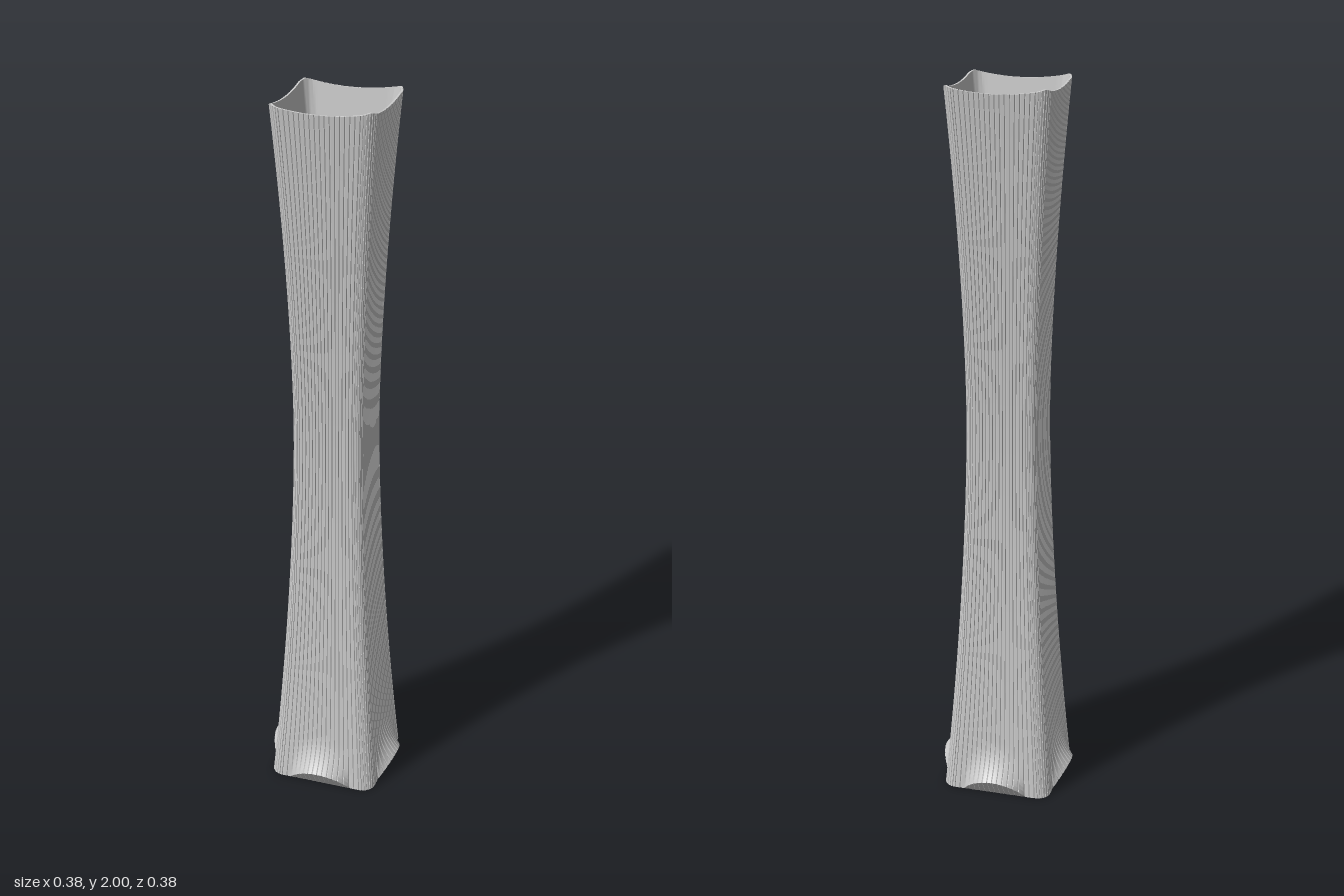
import * as THREE from 'three';
import { toCreasedNormals } from 'three/addons/utils/BufferGeometryUtils.js';

const STRAIGHT = 0.76;          // flat share of each side, the rest is the rounded corner
const SIDE_RIBS = 16, CORNER_RIBS = 7;

// Unit rounded square: position, outward normal, groove flag, side normal
function makeOutline() {
  const points = [];
  for (let q = 0; q < 4; q++) {
    const add = (x, z, nx, nz, groove, flat) => {
      for (let i = 0; i < q; i++) {
        [x, z] = [-z, x];
        [nx, nz] = [-nz, nx];
      }
      points.push({ x, z, nx, nz, groove, flat });
    };
    for (let i = 0; i < SIDE_RIBS; i++) {
      for (const s of [0, 0.14, 0.86]) {
        const t = STRAIGHT * (2 * (i + s) / SIDE_RIBS - 1);
        add(1, t, 1, 0, s === 0, t);
      }
    }
    for (let i = 0; i < CORNER_RIBS; i++) {
      for (const s of [0, 0.14, 0.86]) {
        const a = (i + s) / CORNER_RIBS * Math.PI / 2;
        const c = Math.cos(a), n = Math.sin(a), r = 1 - STRAIGHT;
        add(STRAIGHT + r * c, STRAIGHT + r * n, c, n, s === 0, 1);
      }
    }
  }
  return points;
}

// Half width of the waisted body at height y
function halfWidth(y) {
  return y > 1.1
    ? 0.097 + 0.043 * Math.pow((y - 1.1) / 0.9, 1.7)
    : 0.097 + 0.058 * Math.pow((1.1 - y) / 1.1, 1.7);
}

// Arch over the middle of each side at the foot, 0 to 1
const arch = (p) => Math.pow(Math.max(0, 1 - (p.flat * 0.155 / 0.09) ** 2), 0.8);

// Rim is high at the corners and sags between them
function rimHeight(p) {
  const a = Math.abs(p.x), b = Math.abs(p.z);
  return 2 - 0.016 * (1 - (Math.min(a, b) / Math.max(a, b)) ** 2);
}

// Fluted outer surface, v from 0 at the foot to 1 at the rim
function outerPoint(p, v) {
  const f = arch(p), bottom = 0.05 * f;
  const y = bottom + (rimHeight(p) - bottom) * Math.pow(v, 1.6);
  const h = halfWidth(y);
  const lip = 0.038 * f * Math.max(0, 1 - (y - bottom) / 0.1) ** 2;
  const out = lip - (p.groove ? 0.002 : 0);
  return [p.x * h + p.nx * out, y, p.z * h + p.nz * out];
}

// Smooth cavity whose wall thickens downwards, v from 0 at the rim to 1 at the floor
function innerPoint(p, v) {
  const y = rimHeight(p) + (0.06 - rimHeight(p)) * v;
  const wall = 0.005 + 0.027 * Math.min(1, (2 - y) / 0.9);
  const h = y > 1.1 ? halfWidth(y) - wall : 0.065;
  return [p.x * h, y, p.z * h];
}

// Closed skin through a list of rings
function loft(rings, crease) {
  const count = rings[0].length, index = [];
  for (let r = 0; r < rings.length - 1; r++) {
    for (let i = 0; i < count; i++) {
      const a = r * count + i, b = r * count + (i + 1) % count;
      index.push(a, a + count, b, b, a + count, b + count);
    }
  }
  const geometry = new THREE.BufferGeometry();
  geometry.setAttribute('position', new THREE.Float32BufferAttribute(rings.flat(2), 3));
  geometry.setIndex(index);
  return toCreasedNormals(geometry.toNonIndexed(), crease);
}

export function createModel() {
  const group = new THREE.Group();
  const material = new THREE.MeshStandardMaterial({ color: 0xcccccc });
  const outline = makeOutline();
  const ring = (fn, v) => outline.map((p) => fn(p, v));
  const rings = (fn, steps) =>
    Array.from({ length: steps + 1 }, (_, i) => ring(fn, i / steps));

  const add = (name, ringList, crease) => {
    const mesh = new THREE.Mesh(loft(ringList, crease), material);
    mesh.name = name;
    group.add(mesh);
  };

  // Fluted wall with flared lips over the foot arches
  add('flutedWall', rings(outerPoint, 48), 0.4);

  // Thin rim joining wall and cavity
  add('rim', [ring(outerPoint, 1), ring(innerPoint, 0)], 0.6);

  // Cavity and its floor
  add('cavity', [...rings(innerPoint, 24), ring(() => [0, 0.06, 0])], 0.6);

  // Flat base and the sloping undersides of the four lips
  const baseEdge = (p) => {
    const inset = p.groove ? 0.002 : 0;
    return [p.x * 0.155 - p.nx * inset, 0, p.z * 0.155 - p.nz * inset];
  };
  add('foot', [ring(() => [0, 0, 0]), ring(baseEdge), ring(outerPoint, 0)], 0.4);

  return group;
}
